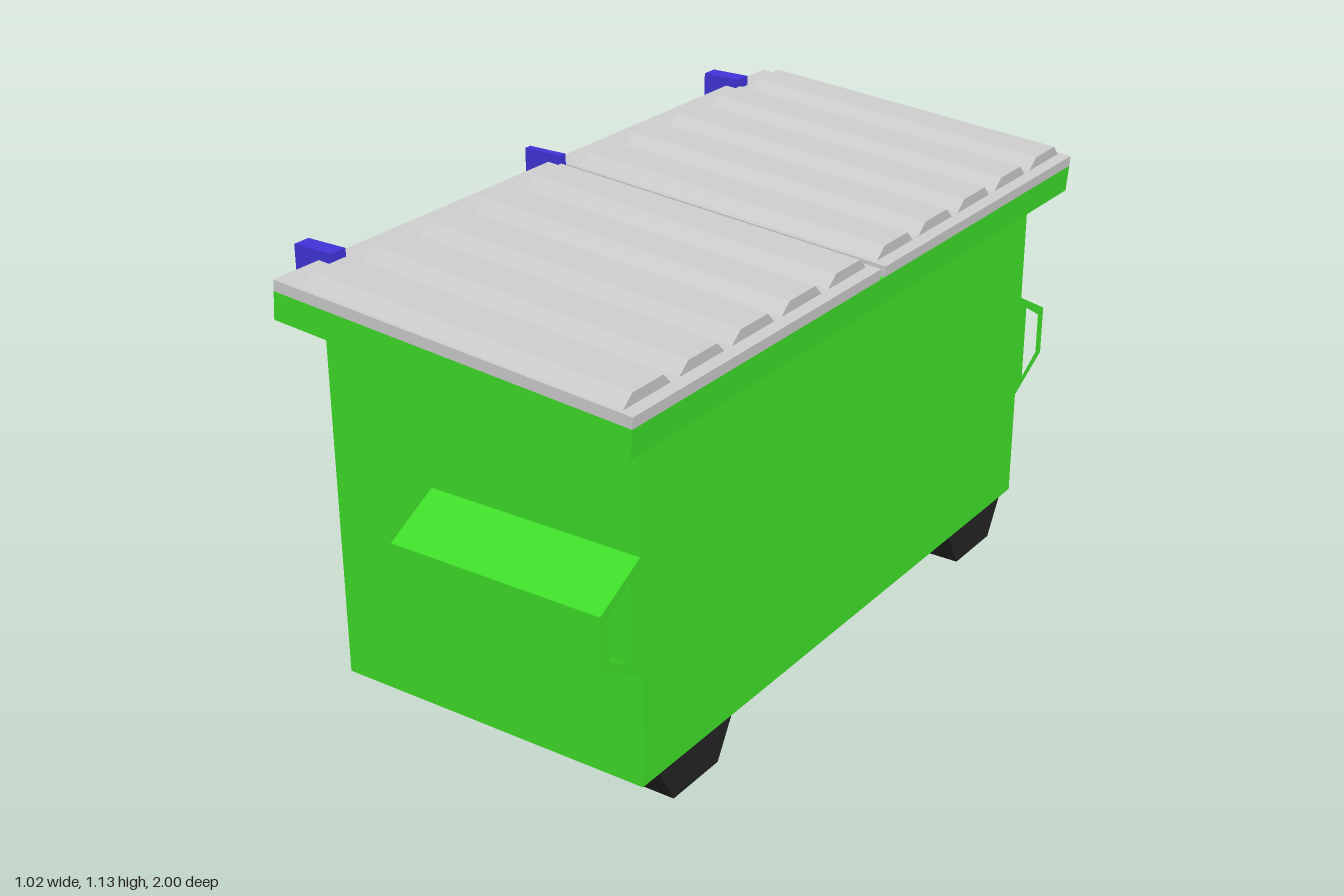
import * as THREE from 'three';

const mat = (color) => new THREE.MeshStandardMaterial({ color, flatShading: true });
const green = mat(0x3ddc28), grey = mat(0xcccccc), black = mat(0x222222);
const blue = mat(0x4033d6), yellow = mat(0xc8960f), steel = mat(0x7aa6d6);

function add(parent, name, geometry, material, x = 0, y = 0, z = 0) {
  const mesh = new THREE.Mesh(geometry, material);
  mesh.name = name;
  mesh.position.set(x, y, z);
  parent.add(mesh);
  return mesh;
}

const points = (list, side = 1) => list.map(([u, v]) => new THREE.Vector2(u * side, v));

// Extrudes a (z, y) profile along x from x0 to x1; side = -1 mirrors it in z
function prismX(profile, x0, x1, side = 1, hole = null) {
  const shape = new THREE.Shape(points(profile, side));
  if (hole) shape.holes.push(new THREE.Path(points(hole, side)));
  return new THREE.ExtrudeGeometry(shape, { depth: x1 - x0, bevelEnabled: false })
    .rotateY(-Math.PI / 2).translate(x1, 0, 0);
}

export function createModel() {
  const model = new THREE.Group();
  model.name = 'dumpster';

  // Container with a sloping top
  const side = new THREE.Shape(points([[-0.4, 0.095], [0.445, 0.095], [0.445, 0.975], [-0.4, 1.04]]));
  add(model, 'container', new THREE.ExtrudeGeometry(side, { depth: 1.72, bevelEnabled: false })
    .translate(0, 0, -0.86), green);

  // Skids and hollow fork pockets, one at each end
  for (const s of [1, -1]) {
    add(model, 'skid', prismX([[0.57, 0], [0.745, 0], [0.8, 0.095], [0.515, 0.095]], -0.4, 0.445, s), black);
    add(model, 'forkPocket', prismX(
      [[0.86, 0.38], [1, 0.455], [1, 0.585], [0.86, 0.66]], -0.115, 0.445, s,
      [[0.895, 0.42], [0.97, 0.465], [0.97, 0.575], [0.895, 0.62]]), green);
  }

  // Tilted top: rim and two ribbed lids
  const top = new THREE.Group();
  top.name = 'slopingTop';
  top.position.set(0.03, 1.011, 0);
  top.rotation.z = -0.079;
  model.add(top);
  add(top, 'rim', new THREE.BoxGeometry(0.95, 0.068, 1.93), green);
  for (const s of [1, -1]) {
    add(top, 'lid', new THREE.BoxGeometry(0.95, 0.027, 0.955), grey, 0, 0.0475, s * 0.4875);
    for (let i = 0; i < 5; i++) {
      const rib = prismX([[-0.083, 0.06], [0.083, 0.06], [0.052, 0.089], [-0.052, 0.089]], -0.402, 0.443);
      add(top, 'lidRib', rib, grey, 0, 0, s * (0.107 + i * 0.1915));
    }
  }

  // Hinge brackets, rod and collars along the back edge of the lids
  for (const [z, width, collar] of [[-0.802, 0.045, 0.07], [0, 0.02, 0.07], [0.802, 0.045, 0.07]]) {
    add(model, 'hingeBracket', new THREE.BoxGeometry(0.11, 0.18, width), blue, -0.455, 1.042, z);
    add(model, 'hingeCollar', new THREE.CylinderGeometry(0.017, 0.017, collar, 12).rotateX(Math.PI / 2),
      steel, -0.49, 1.045, z - Math.sign(z) * 0.002);
  }
  add(model, 'hingeRod', new THREE.CylinderGeometry(0.011, 0.011, 1.6, 12).rotateX(Math.PI / 2),
    yellow, -0.49, 1.045, 0);

  return model;
}
